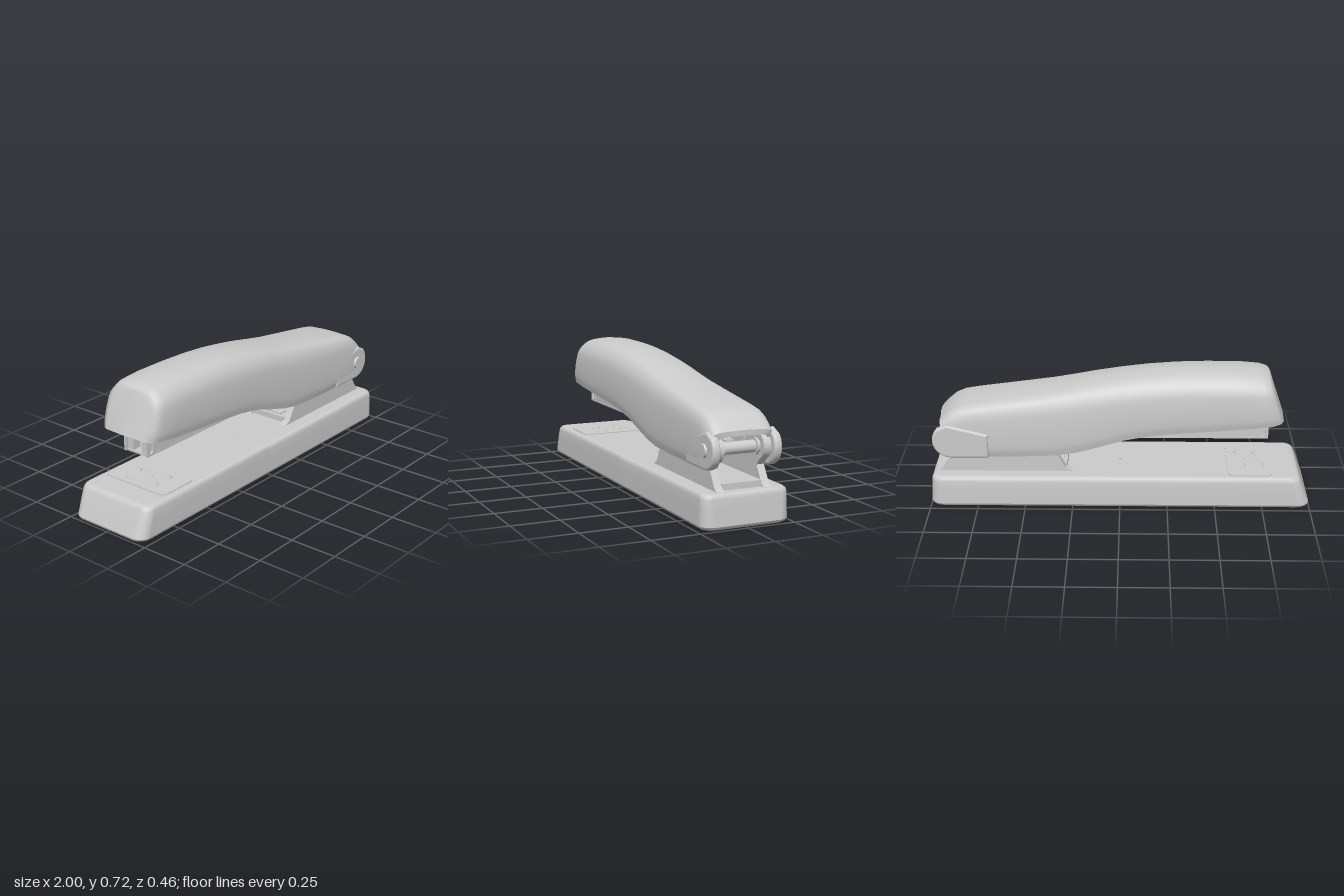
import * as THREE from 'three';

const grey = new THREE.MeshStandardMaterial({ color: 0xcccccc, side: THREE.DoubleSide });
const lerp = THREE.MathUtils.lerp;
const PIVOT = [0.885, 0.363];

function add(parent, name, geometry, x = 0, y = 0, z = 0) {
  const mesh = new THREE.Mesh(geometry, grey);
  mesh.name = name;
  mesh.position.set(x, y, z);
  parent.add(mesh);
  return mesh;
}

// box given by its limits on each axis
function block(parent, name, x0, x1, y0, y1, z0, z1) {
  return add(parent, name, new THREE.BoxGeometry(x1 - x0, y1 - y0, z1 - z0),
    (x0 + x1) / 2, (y0 + y1) / 2, (z0 + z1) / 2);
}

// cylinder lying along z
function pin(parent, name, r, length, z, r2 = r) {
  const g = new THREE.CylinderGeometry(r2, r, length, 32).rotateX(Math.PI / 2);
  return add(parent, name, g, PIVOT[0], PIVOT[1], z);
}

// skin over rings that all have the same number of points
function loft(rings) {
  const n = rings[0].length, index = [];
  for (let i = 0; i < rings.length - 1; i++) {
    for (let j = 0; j < n - 1; j++) {
      const a = i * n + j, b = a + n;
      index.push(a, b, a + 1, b, b + 1, a + 1);
    }
  }
  const g = new THREE.BufferGeometry();
  g.setAttribute('position', new THREE.Float32BufferAttribute(rings.flat(2), 3));
  g.setIndex(index);
  g.computeVertexNormals();
  return g;
}

// rounded rectangle in the ground plane, starting on a long straight side
function baseRing([y, x0, x1, hz, r]) {
  const pts = [[0, y, hz]];
  const corners = [[x0 + r, hz - r, 1], [x0 + r, r - hz, 2], [x1 - r, r - hz, 3], [x1 - r, hz - r, 4]];
  for (const [cx, cz, q] of corners) {
    for (let k = 0; k <= 8; k++) {
      const a = (q + k / 8) * Math.PI / 2;
      pts.push([cx + r * Math.cos(a), y, cz + r * Math.sin(a)]);
    }
  }
  pts.push([0, y, hz]);
  return pts;
}

// arch across the cover, from its +z lower edge over the top to the -z one
const FRONT_ARCH = [[0.95, 0], [1, 0.15], [1, 0.5], [0.93, 0.74], [0.68, 0.93], [0.25, 1]];
const REAR_ARCH = [[0.94, 0], [1, 0.15], [1, 0.6], [0.95, 0.82], [0.82, 0.95], [0.3, 1]];
function arch(xt, yt, xb, yb, w, s) {
  const half = FRONT_ARCH.map(([u, v], i) => [lerp(u, REAR_ARCH[i][0], s), lerp(v, REAR_ARCH[i][1], s)]);
  const full = [...half, ...half.slice().reverse().map(([u, v]) => [-u, v])];
  const curve = new THREE.CatmullRomCurve3(full.map(([u, v]) => new THREE.Vector3(u, v, 0)));
  return curve.getPoints(44).map(p => [lerp(xb, xt, p.y), lerp(yb, yt, p.y), p.x * w]);
}

function extrude(points, depth, hole) {
  const shape = new THREE.Shape(points.map(p => new THREE.Vector2(...p)));
  if (hole) shape.holes.push(new THREE.Path(hole.map(p => new THREE.Vector2(...p))));
  return new THREE.ExtrudeGeometry(shape, { depth, bevelEnabled: false });
}

function arc(cx, cy, r, a0, a1, n = 16) {
  return Array.from({ length: n + 1 }, (_, k) => {
    const a = THREE.MathUtils.degToRad(lerp(a0, a1, k / n));
    return [cx + r * Math.cos(a), cy + r * Math.sin(a)];
  });
}

function buildBase(root) {
  const base = new THREE.Group();
  base.name = 'base';
  root.add(base);
  // rubber foot, then the body with a sloping front end
  add(base, 'foot', loft([
    [0, -0.01, 0.01, 0.01, 0.01], [0, -0.96, 0.96, 0.195, 0.05], [0.002, -0.985, 0.982, 0.215, 0.055],
    [0.01, -0.997, 0.995, 0.227, 0.06], [0.021, -1, 1, 0.231, 0.06],
  ].map(baseRing)));
  add(base, 'body', loft([
    [0.021, -0.999, 0.999, 0.232, 0.06], [0.1, -0.97, 0.994, 0.231, 0.055], [0.148, -0.952, 0.991, 0.229, 0.05],
    [0.163, -0.945, 0.987, 0.225, 0.05], [0.171, -0.936, 0.98, 0.218, 0.05], [0.174, -0.92, 0.968, 0.206, 0.05],
    [0.174, -0.91, 0.955, 0.195, 0.045], [0.174, -0.01, 0.01, 0.01, 0.01],
  ].map(baseRing)));

  // anvil plate with its two crimping grooves and centre rivet
  const plate = [...arc(-0.6, 0.165, 0.03, 0, 90, 6), ...arc(-0.77, 0.165, 0.03, 90, 180, 6),
    ...arc(-0.77, -0.165, 0.03, 180, 270, 6), ...arc(-0.6, -0.165, 0.03, 270, 360, 6)];
  add(base, 'anvilPlate', extrude(plate, 0.006).rotateX(-Math.PI / 2), 0, 0.173, 0);
  for (const x of [-0.74, -0.64]) {
    for (const s of [-1, 1]) {
      const groove = new THREE.TorusGeometry(0.025, 0.003, 6, 16, Math.PI).rotateX(-Math.PI / 2);
      groove.rotateY(-s * Math.PI / 2);
      add(base, 'crimpGroove', groove, x, 0.179, s * 0.07);
    }
  }
  add(base, 'anvilRivet', new THREE.CylinderGeometry(0.013, 0.015, 0.005, 20), -0.68, 0.181, 0);
}

function buildBracket(root) {
  const bracket = new THREE.Group();
  bracket.name = 'hingeBracket';
  root.add(bracket);
  // side plates flare into the base and end in an ear around the pivot
  const outline = [[0.25, 0.173], [0.955, 0.173], [0.935, 0.185], [0.92, 0.205], [0.88, 0.27], [0.905, 0.3],
    ...arc(...PIVOT, 0.065, -60, 130), [0.6, 0.36], [0.36, 0.3], [0.33, 0.27], [0.3, 0.215], [0.285, 0.19]];
  for (const z of [-0.145, 0.105]) add(bracket, 'sidePlate', extrude(outline, 0.04), 0, 0, z);
  block(bracket, 'web', 0.28, 0.93, 0.173, 0.205, -0.106, 0.106);

  // leaf spring curling up from the web to the magazine
  const outer = arc(0.45, 0.256, 0.052, -90, 90), inner = arc(0.45, 0.256, 0.044, 90, -90);
  const leaf = [[0.3, 0.204], ...outer, [0.2, 0.338], [0.2, 0.33], ...inner, [0.3, 0.212]];
  add(bracket, 'leafSpring', extrude(leaf, 0.14), 0, 0, -0.07);

  pin(bracket, 'shaft', 0.03, 0.22, 0);
  for (const s of [-1, 1]) {
    pin(bracket, 'shaftCollar', 0.042, 0.01, s * 0.09);
    pin(bracket, 'shaftWasher', 0.035, 0.008, s * 0.1);
  }
}

function buildMagazine(root) {
  const mag = new THREE.Group();
  mag.name = 'magazine';
  root.add(mag);
  block(mag, 'floor', -0.77, 0.8, 0.337, 0.347, -0.075, 0.075);
  const nose = [[-0.78, 0.338], [-0.715, 0.338], [-0.715, 0.455], [-0.78, 0.455]];
  const slot = [...arc(-0.75, 0.402, 0.014, 0, 180, 8), ...arc(-0.75, 0.364, 0.014, 180, 360, 8)];
  for (const s of [-1, 1]) {
    const z = s * 0.07;
    block(mag, 'sideWall', -0.72, 0.82, 0.337, 0.408, z - 0.004, z + 0.004);
    block(mag, 'sideRib', -0.69, 0.3, 0.386, 0.395, z - 0.008, z + 0.008);
    add(mag, 'nosePlate', extrude(nose, 0.012, slot), 0, 0, z - 0.006);
    block(mag, 'noseBlock', -0.765, -0.715, 0.345, 0.43, s > 0 ? 0.027 : -0.066, s > 0 ? 0.066 : -0.027);
  }
  block(mag, 'pusherRail', -0.7, 0.8, 0.347, 0.385, -0.025, 0.025);
}

function buildCover(root) {
  const cover = new THREE.Group();
  cover.name = 'cover';
  root.add(cover);
  // top x, top y, bottom x, bottom y, half width, front-to-rear blend
  const sections = [
    [-0.783, 0.682, -0.858, 0.463, 0, 0], [-0.78, 0.685, -0.852, 0.462, 0.13, 0],
    [-0.765, 0.697, -0.835, 0.457, 0.16, 0], [-0.725, 0.707, -0.79, 0.448, 0.175, 0],
    [-0.62, 0.716, -0.68, 0.436, 0.177, 0], [-0.45, 0.717, -0.48, 0.42, 0.177, 0],
    [-0.3, 0.712, -0.32, 0.408, 0.177, 0.05], [-0.15, 0.7, -0.16, 0.392, 0.177, 0.1],
    [0, 0.68, -0.02, 0.365, 0.176, 0.2], [0.12, 0.659, 0.1, 0.328, 0.176, 0.35],
    [0.24, 0.634, 0.22, 0.294, 0.176, 0.5], [0.35, 0.612, 0.33, 0.275, 0.176, 0.65],
    [0.55, 0.581, 0.5, 0.269, 0.176, 0.85], [0.75, 0.551, 0.68, 0.268, 0.177, 1],
    [0.83, 0.537, 0.74, 0.268, 0.177, 1], [0.88, 0.515, 0.78, 0.268, 0.177, 1],
    [0.915, 0.486, 0.81, 0.268, 0.176, 1], [0.945, 0.455, 0.84, 0.268, 0.175, 1],
  ];
  const walls = sections.map(([xt, yt, xb, yb, w, s], i) => {
    const shift = 0.03 * Math.max(0, 1 - i / 4);
    return [arch(xt, yt, xb, yb, w, s),
      arch(xt + shift, yt - 0.026, xb + shift, yb, Math.max(0, w - 0.03), s).reverse()];
  });
  // outer skin, lower rims and inner skin; repeated points keep the rims crisp
  const ring = (o, i) => [...o, o.at(-1), i[0], ...i, i.at(-1), o[0]];
  const rings = walls.map(([o, i]) => ring(o, i));
  const [, lastInner] = walls.at(-1);
  rings.push(rings.at(-1), ring(lastInner.slice().reverse(), lastInner));
  add(cover, 'shell', loft(rings));

  // rounded cheeks around the pivot, with domed pin heads
  const bevel = 0.012;
  const outline = [[0.7, 0.268 + bevel], ...arc(...PIVOT, 0.095 - bevel, -90, 42), [0.9, 0.44], [0.7, 0.39]];
  const cheek = new THREE.ExtrudeGeometry(new THREE.Shape(outline.map(p => new THREE.Vector2(...p))),
    { depth: 0.018, bevelThickness: bevel, bevelSize: bevel, bevelSegments: 3 });
  for (const s of [-1, 1]) {
    const side = add(cover, 'cheek', cheek, 0, 0, s > 0 ? 0.147 : -0.177);
    // the inner bevel is sunk into the side wall
    side.position.z += s * 0.0005;
    const head = pin(cover, 'pinHead', 0.036, 0.016, s * 0.18, 0.03);
    if (s < 0) head.rotation.y = Math.PI;
  }
}

export function createModel() {
  const root = new THREE.Group();
  root.name = 'stapler';
  buildBase(root);
  buildBracket(root);
  buildMagazine(root);
  buildCover(root);
  return root;
}
